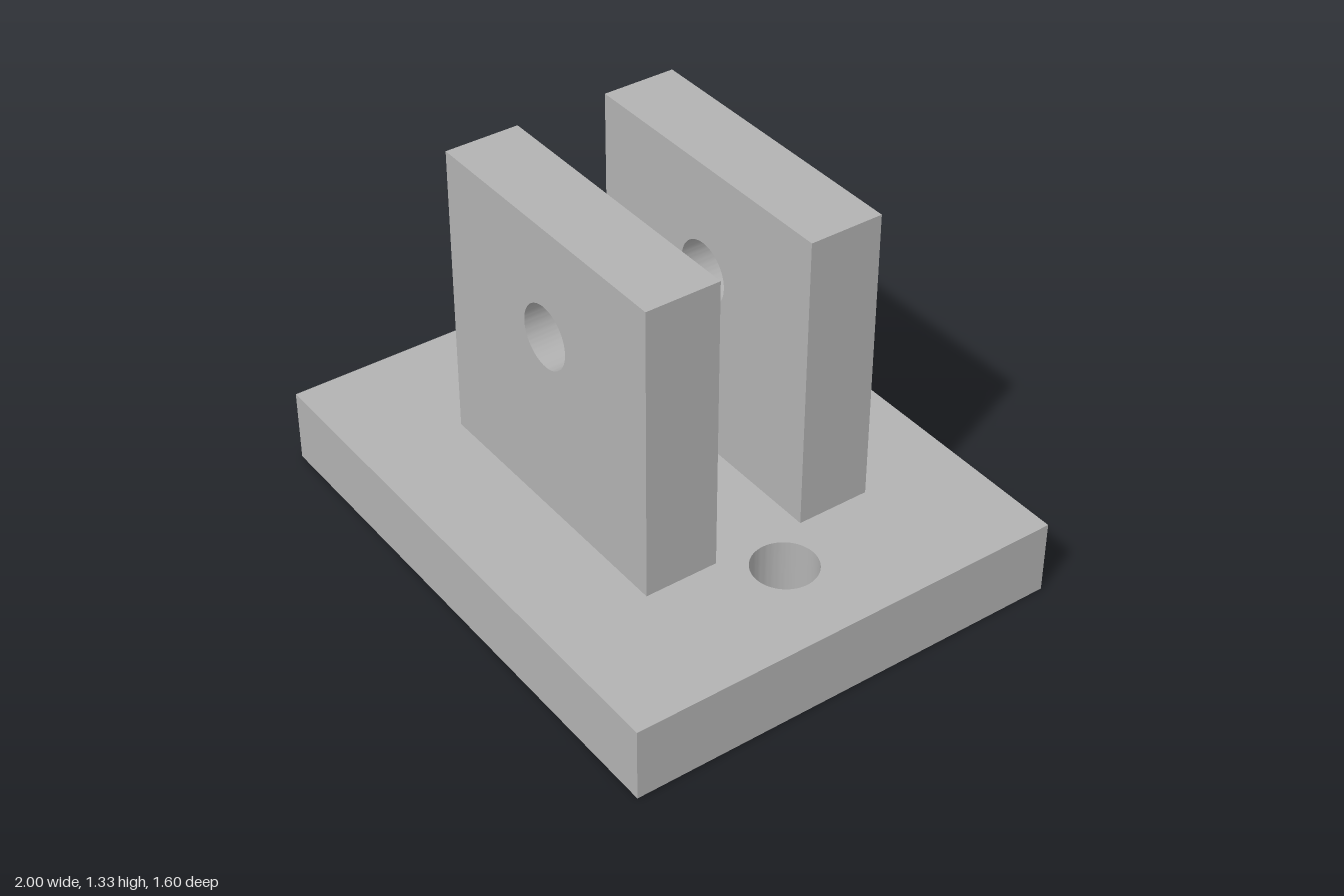
import * as THREE from 'three';
import { toCreasedNormals } from 'three/addons/utils/BufferGeometryUtils.js';

const HOLE_RADIUS = 0.112;

// Rectangular slab from z = 0 to z = depth, drilled through at the given points
function drilledSlab(x0, y0, x1, y1, depth, holes) {
  const shape = new THREE.Shape([
    new THREE.Vector2(x0, y0), new THREE.Vector2(x1, y0),
    new THREE.Vector2(x1, y1), new THREE.Vector2(x0, y1),
  ]);
  for (const [x, y] of holes) {
    shape.holes.push(new THREE.Path().absarc(x, y, HOLE_RADIUS, 0, Math.PI * 2, true));
  }
  const geometry = new THREE.ExtrudeGeometry(shape, { depth, bevelEnabled: false, curveSegments: 48 });
  return toCreasedNormals(geometry, Math.PI / 6);
}

export function createModel() {
  const model = new THREE.Group();
  model.name = 'clevisBracket';
  const steel = new THREE.MeshStandardMaterial({ color: 0xb2b2b2 });
  steel.name = 'steel grey';

  // Base plate with two vertical bolt holes
  const baseGeometry = drilledSlab(-1, -0.8, 1, 0.8, 0.267, [[-0.667, 0], [0.667, 0]]);
  baseGeometry.rotateX(-Math.PI / 2);
  const base = new THREE.Mesh(baseGeometry, steel);
  base.name = 'basePlate';
  model.add(base);

  // Two upright lugs sharing a pin hole axis
  const lugGeometry = drilledSlab(-0.533, 0.267, 0.533, 1.333, 0.266, [[0, 0.935]]);
  for (const [name, z] of [['frontLug', 0.167], ['backLug', -0.433]]) {
    const lug = new THREE.Mesh(lugGeometry, steel);
    lug.name = name;
    lug.position.z = z;
    model.add(lug);
  }
  return model;
}
